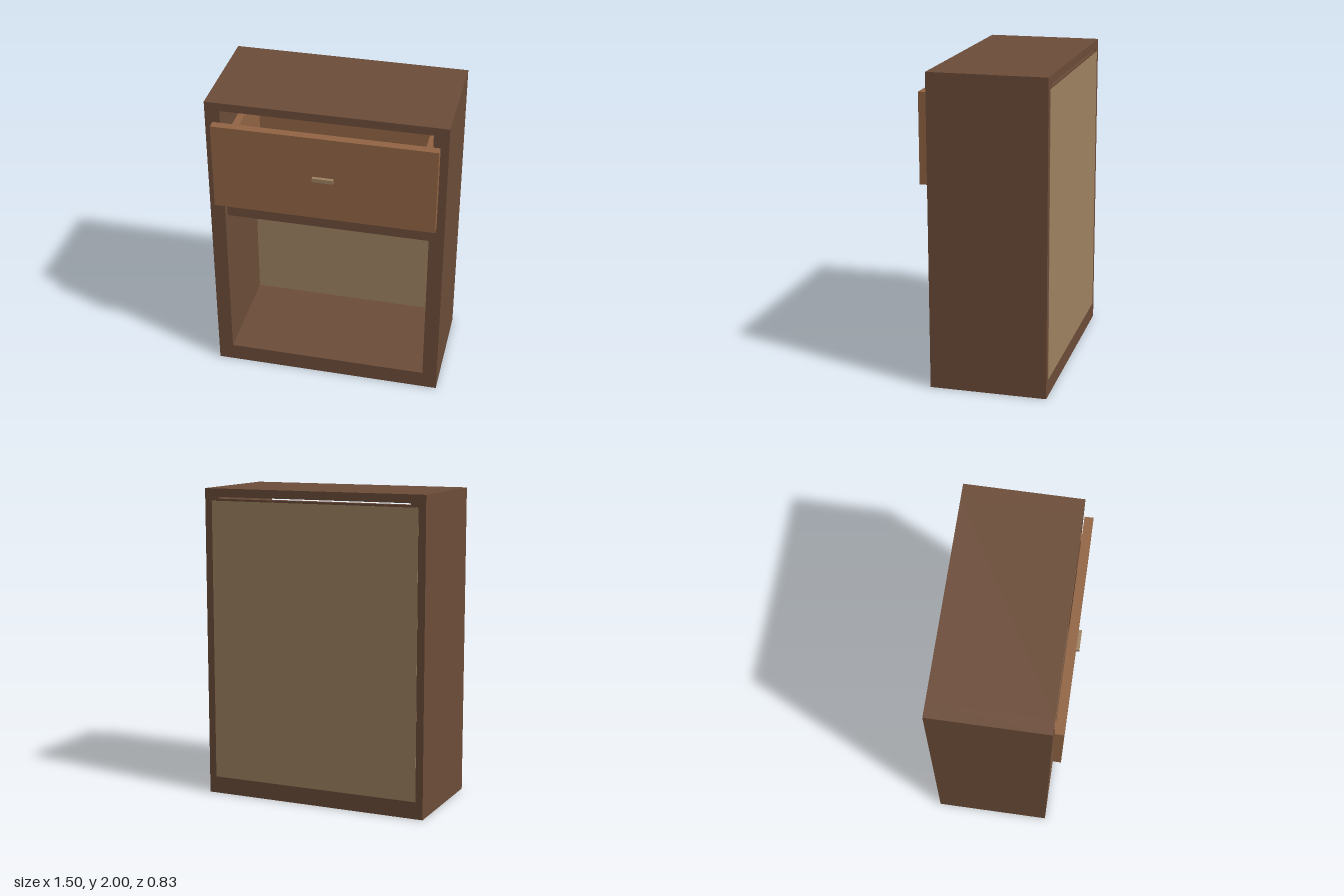
import * as THREE from 'three';

export function createModel() {
  const model = new THREE.Group();
  model.name = 'cabinet';

  const material = (name, color) => {
    const m = new THREE.MeshStandardMaterial({ color });
    m.name = name;
    return m;
  };
  const darkWood = material('darkWood', 0x6d4d39);
  const drawerWood = material('drawerWood', 0x936544);
  const paleWood = material('paleWood', 0xa08362);

  // Box given by its extents on each axis
  const box = (parent, name, mat, [x0, x1], [y0, y1], [z0, z1]) => {
    const mesh = new THREE.Mesh(new THREE.BoxGeometry(x1 - x0, y1 - y0, z1 - z0), mat);
    mesh.position.set((x0 + x1) / 2, (y0 + y1) / 2, (z0 + z1) / 2);
    mesh.name = name;
    parent.add(mesh);
  };
  // Same box on the left and the right side
  const pair = (parent, name, mat, [x0, x1], y, z) => {
    box(parent, name + 'Left', mat, [x0, x1], y, z);
    box(parent, name + 'Right', mat, [-x1, -x0], y, z);
  };

  // Carcass
  const back = -0.414, front = 0.33;
  const carcass = new THREE.Group();
  carcass.name = 'carcass';
  model.add(carcass);
  pair(carcass, 'sideWall', darkWood, [0.653, 0.748], [0, 2], [back, front]);
  box(carcass, 'topBoard', darkWood, [-0.653, 0.653], [1.947, 2], [back, front]);
  box(carcass, 'bottomBoard', darkWood, [-0.653, 0.653], [0, 0.115], [back, front]);
  box(carcass, 'shelf', darkWood, [-0.653, 0.653], [1.155, 1.25], [-0.36, 0.28]);

  // Back panel, lapped slightly over the side walls, with a rail above it
  box(carcass, 'backPanel', paleWood, [-0.653, 0.653], [0.11, 1.922], [back, -0.36]);
  box(carcass, 'backPanelFace', paleWood, [-0.7, 0.7], [0.11, 1.922], [back - 0.002, back + 0.002]);
  box(carcass, 'backRail', darkWood, [-0.653, 0.653], [1.922, 1.936], [back, -0.36]);

  // Open-topped drawer with an overlapping front
  const drawer = new THREE.Group();
  drawer.name = 'drawer';
  model.add(drawer);
  box(drawer, 'drawerFront', drawerWood, [-0.698, 0.698], [1.3, 1.87], [0.337, 0.393]);
  pair(drawer, 'drawerSide', drawerWood, [0.588, 0.633], [1.3, 1.76], [-0.34, 0.337]);
  box(drawer, 'drawerBack', drawerWood, [-0.588, 0.588], [1.3, 1.76], [-0.34, -0.295]);
  box(drawer, 'drawerBottom', drawerWood, [-0.588, 0.588], [1.3, 1.335], [-0.295, 0.325]);
  box(drawer, 'handle', paleWood, [-0.066, 0.066], [1.574, 1.6], [0.393, 0.414]);
  pair(drawer, 'runner', paleWood, [0.318, 0.516], [1.265, 1.3], [-0.3, 0.28]);

  return model;
}
